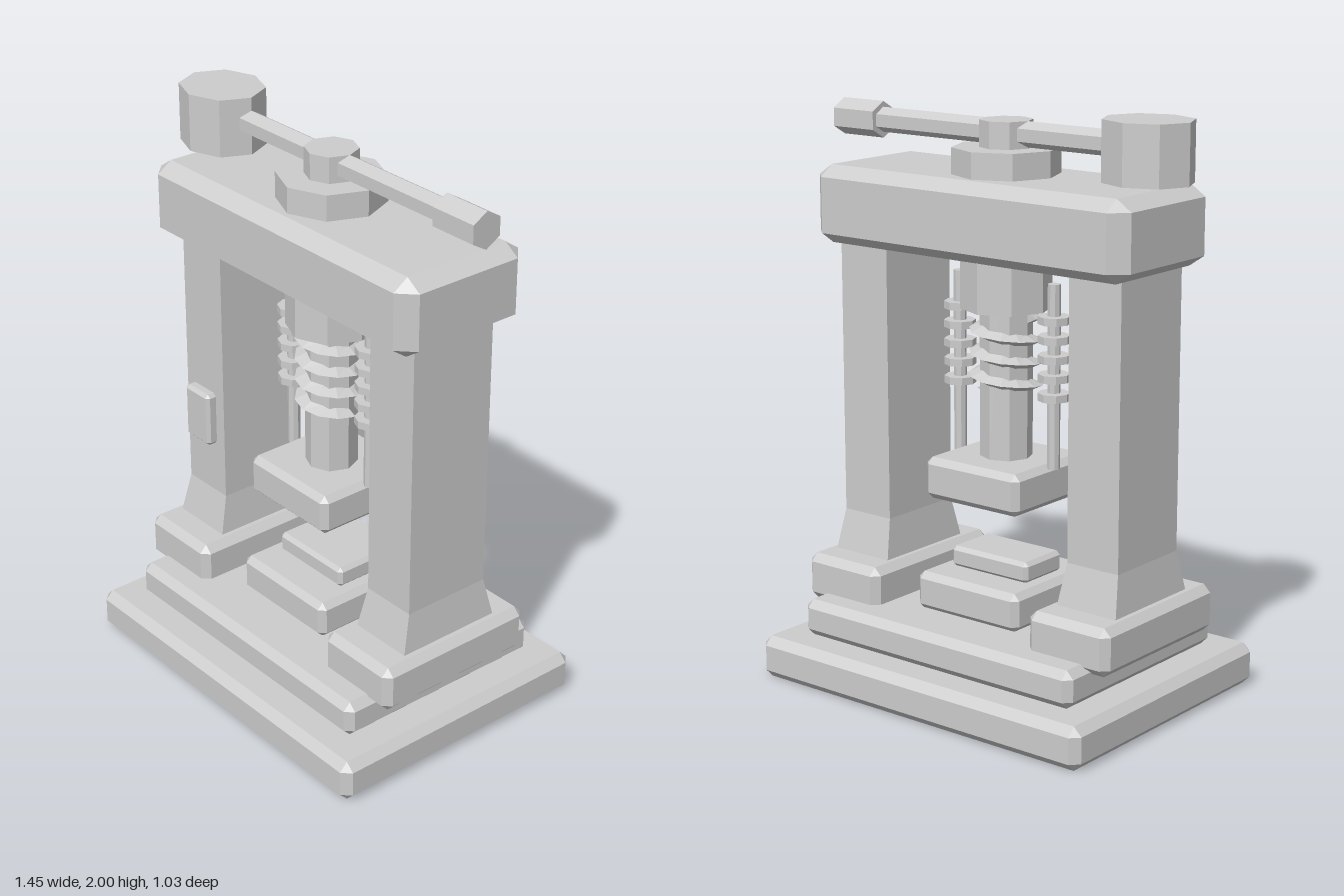
import * as THREE from 'three';
import { ConvexGeometry } from 'three/addons/geometries/ConvexGeometry.js';

const steel = new THREE.MeshStandardMaterial({ color: 0xcccccc });
steel.name = 'light grey steel';

// faceted normals without shared corners
function faceted(geometry) {
  const g = geometry.index ? geometry.toNonIndexed() : geometry;
  g.computeVertexNormals();
  return g;
}

// box with every edge cut off; c is the cut along x, y and z
function chamferBox(w, h, d, c) {
  const [cx, cy, cz] = Array.isArray(c) ? c : [c, c, c];
  const points = [];
  for (const sx of [-1, 1]) for (const sy of [-1, 1]) for (const sz of [-1, 1]) {
    const X = w / 2, Y = h / 2, Z = d / 2;
    points.push(
      new THREE.Vector3(sx * X, sy * (Y - cy), sz * (Z - cz)),
      new THREE.Vector3(sx * (X - cx), sy * Y, sz * (Z - cz)),
      new THREE.Vector3(sx * (X - cx), sy * (Y - cy), sz * Z));
  }
  return new ConvexGeometry(points);
}

// upright prism between two heights
function prism(radius, y0, y1, sides = 8) {
  return faceted(new THREE.CylinderGeometry(radius, radius, y1 - y0, sides)).translate(0, (y0 + y1) / 2, 0);
}

// hexagonal bar along x with a ridge on top
function bar(radius, x0, x1) {
  return faceted(new THREE.CylinderGeometry(radius, radius, x1 - x0, 6))
    .rotateY(Math.PI / 2).rotateZ(Math.PI / 2).translate((x0 + x1) / 2, 0, 0);
}

// square post that widens towards its foot
function postGeometry() {
  const g = new THREE.BoxGeometry(0.205, 1.12, 0.33, 1, 2, 1).translate(0, 0.96, 0);
  const p = g.attributes.position;
  for (let i = 0; i < p.count; i++) {
    const y = p.getY(i);
    if (y < 0.5) p.setXYZ(i, p.getX(i) * 1.17, y, p.getZ(i) * 1.21);
    else if (y < 1.2) p.setY(i, 0.55);
  }
  return faceted(g);
}

// triangular ridge winding down the spindle
function threadGeometry() {
  const turns = 3.5, perTurn = 12, steps = turns * perTurn;
  const section = [[0.08, 0.022], [0.126, 0], [0.08, -0.022]];
  const positions = [], index = [];
  for (let i = 0; i <= steps; i++) {
    const a = (i / perTurn) * Math.PI * 2;
    const y = 1.3 - 0.27 * i / steps;
    for (const [r, dy] of section) positions.push(-r * Math.cos(a), y + dy, r * Math.sin(a));
  }
  for (let i = 0; i < steps; i++) for (let k = 0; k < 3; k++) {
    const a = i * 3 + k, b = i * 3 + (k + 1) % 3;
    index.push(a, b, a + 3, b, b + 3, a + 3);
  }
  const e = steps * 3;
  index.push(0, 2, 1, e, e + 1, e + 2);
  const g = new THREE.BufferGeometry();
  g.setAttribute('position', new THREE.Float32BufferAttribute(positions, 3));
  g.setIndex(index);
  return faceted(g);
}

export function createModel() {
  const model = new THREE.Group();
  model.name = 'screwPress';
  const add = (name, geometry, x = 0, y = 0, z = 0) => {
    const mesh = new THREE.Mesh(geometry, steel);
    mesh.name = name;
    mesh.position.set(x, y, z);
    model.add(mesh);
    return mesh;
  };

  // stepped base
  add('basePlate', chamferBox(1.38, 0.15, 1.03, 0.03), 0, 0.075);
  add('baseStep', chamferBox(1.16, 0.13, 0.82, 0.027), 0, 0.215);

  // posts, feet and guide rods on both sides
  for (const s of [-1, 1]) {
    const side = s > 0 ? 'left' : 'right';
    add(side + 'Foot', chamferBox(0.326, 0.165, 0.62, 0.027), s * 0.49, 0.327);
    add(side + 'Post', postGeometry(), s * 0.49);
    add(side + 'GuideRod', prism(0.022, 0.8, 1.43), s * 0.202);
    for (let i = 0; i < 5; i++) {
      add(side + 'SpringRing', prism(0.055, -0.013, 0.013), s * 0.202, 1.05 + i * 0.065);
    }
  }
  add('postPanel', chamferBox(0.13, 0.2, 0.06, 0.012), -0.497, 0.843, 0.172);

  // crossbeam
  add('crossbeam', chamferBox(1.306, 0.268, 0.514, [0.057, 0.038, 0.055]), 0, 1.642);

  // spindle assembly
  add('collar', prism(0.183, 1.76, 1.865));
  add('spindle', prism(0.09, 0.78, 1.955));
  add('nut', prism(0.155, 1.325, 1.495));
  add('thread', threadGeometry());
  add('ram', chamferBox(0.4, 0.145, 0.4, 0.022), 0, 0.742);

  // anvil
  add('anvilBlock', chamferBox(0.436, 0.135, 0.45, 0.022), 0, 0.343);
  add('anvilPad', chamferBox(0.33, 0.075, 0.2, 0.014), 0, 0.444);

  // lever with grip and counterweight
  add('lever', bar(0.043, -0.5, 0.56), 0, 1.912);
  add('grip', bar(0.063, 0.54, 0.72), 0, 1.912);
  add('counterweight', prism(0.157, 1.8, 2).scale(1, 1, 0.89), -0.57);

  return model;
}
